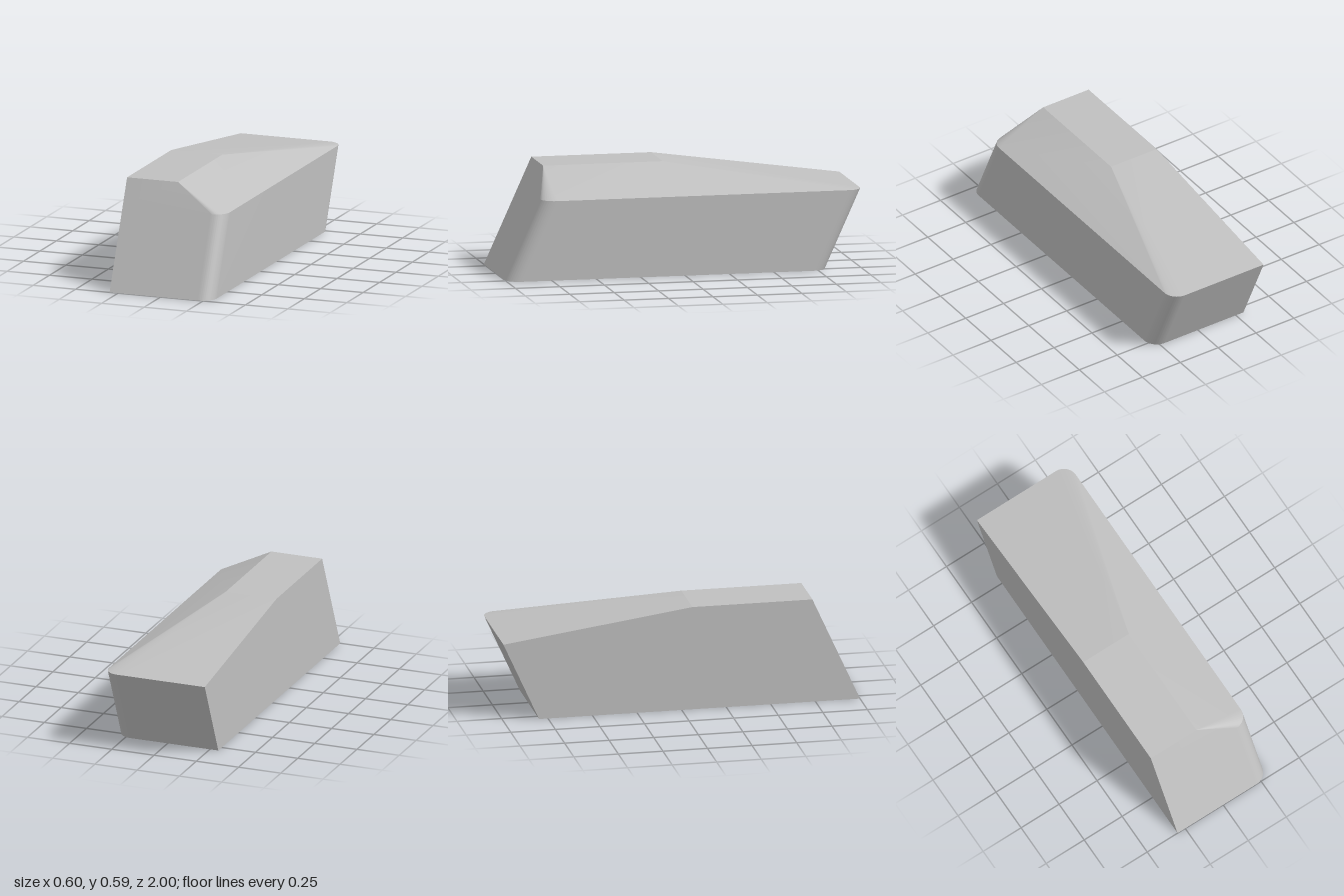
import * as THREE from 'three';
import { toCreasedNormals } from 'three/addons/utils/BufferGeometryUtils.js';

const HALF = 0.3, EAVE = 0.442, TOP = 0.59, RADIUS = 0.08, STEPS = 32;
const LEAN = 0.2 / EAVE; // backward lean of the walls per unit of height

// Plan of the base: square corners on the left side, rounded ones on the right
function basePlan() {
  const plan = [
    { x: -HALF, z: -0.8, apex: [-HALF, TOP, 0.06] },
    { x: -HALF, z: 1, apex: [-HALF, TOP, 1 - LEAN * TOP] },
  ];
  const corner = (cz, from, apex) => {
    for (let i = 0; i <= STEPS; i++) {
      const a = from - (i / STEPS) * Math.PI / 2;
      plan.push({ x: HALF - RADIUS + RADIUS * Math.cos(a), z: cz + RADIUS * Math.sin(a), apex });
    }
  };
  corner(1 - RADIUS, Math.PI / 2, [0, TOP, 1 - LEAN * TOP]);
  corner(-0.8 + RADIUS, 0, [0, TOP, 0.06]);
  return plan;
}

function bodyGeometry() {
  const plan = basePlan();
  const ring = (y) => plan.map((p) => [p.x, y, p.z - LEAN * y]);
  const low = ring(0), eave = ring(EAVE), top = plan.map((p) => p.apex);
  const positions = [];
  const same = (a, b) => a.every((v, i) => Math.abs(v - b[i]) < 1e-6);
  const tri = (a, b, c) => {
    if (!same(a, b) && !same(b, c) && !same(a, c)) positions.push(...a, ...b, ...c);
  };

  // Leaning walls, then the slopes that gather to the corners of the flat top
  for (const [lower, upper] of [[low, eave], [eave, top]]) {
    lower.forEach((a, i) => {
      const j = (i + 1) % lower.length;
      tri(a, lower[j], upper[j]);
      tri(a, upper[j], upper[i]);
    });
  }
  // Flat top and underside
  for (let i = 1; i < plan.length - 1; i++) {
    tri(top[0], top[i], top[i + 1]);
    tri(low[0], low[i + 1], low[i]);
  }

  const geometry = new THREE.BufferGeometry();
  geometry.setAttribute('position', new THREE.Float32BufferAttribute(positions, 3));
  return toCreasedNormals(geometry, THREE.MathUtils.degToRad(7.5));
}

export function createModel() {
  const grey = new THREE.MeshStandardMaterial({ color: 0xc0c0c0 });
  grey.name = 'plain grey';
  const body = new THREE.Mesh(bodyGeometry(), grey);
  body.name = 'slantedBlock';
  const group = new THREE.Group();
  group.name = 'slantedKeyBlock';
  group.add(body);
  return group;
}
